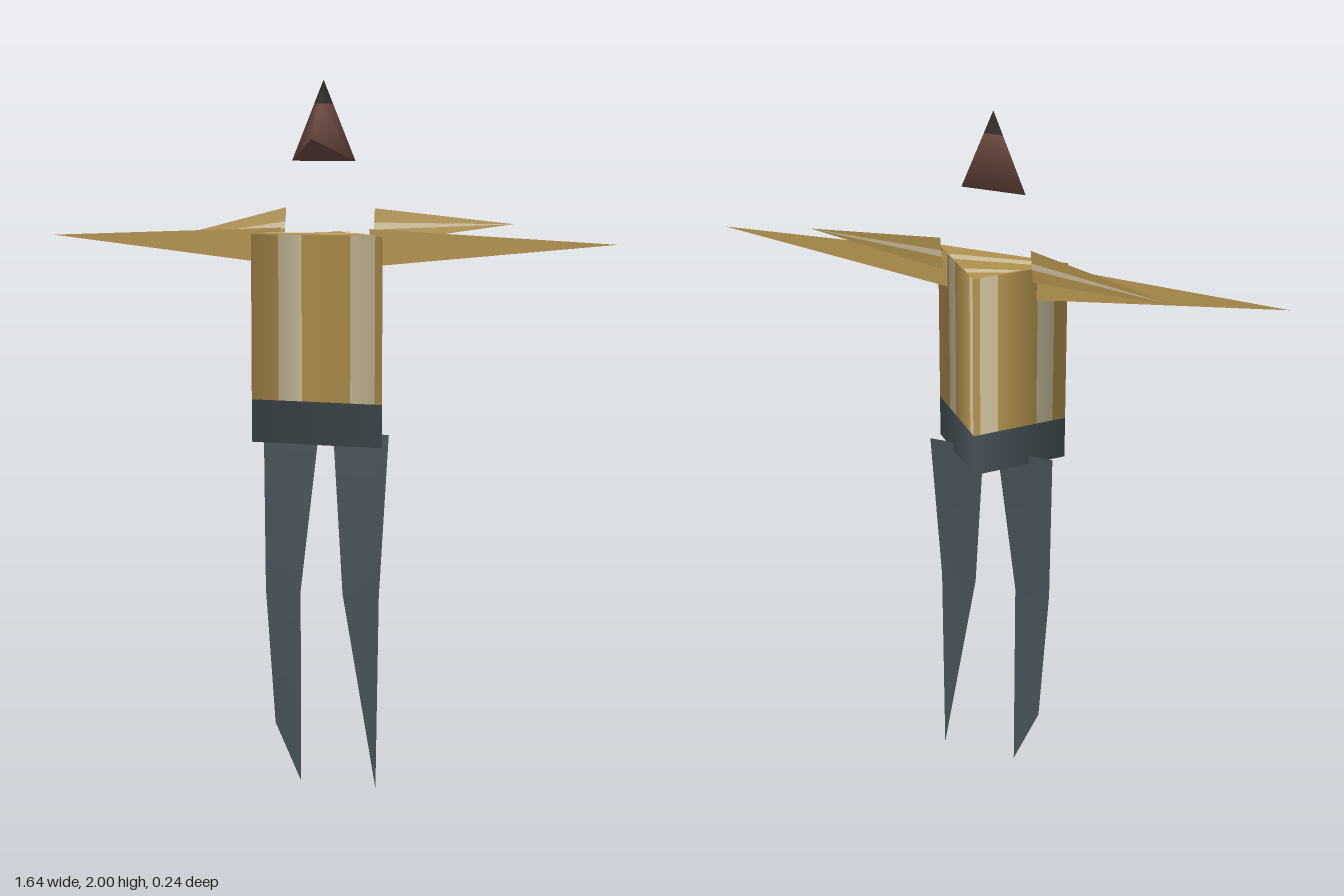
import * as THREE from 'three';

const mat = (name, color, side = THREE.FrontSide) =>
  Object.assign(new THREE.MeshStandardMaterial({ color, side }), { name });

export function createModel() {
  const gold = mat('gold cloth', 0xb1924f, THREE.DoubleSide);
  const cream = mat('cream stripe', 0xcdbf9c, THREE.DoubleSide);
  const slate = mat('slate cloth', 0x455056, THREE.DoubleSide);
  const skin = mat('brown skin', 0x69483e);
  const hair = mat('dark hair', 0x302a2a);
  const model = new THREE.Group();
  model.name = 'figure';

  // Small mesh from points and triangles; normals point away from a centre when given
  function add(parent, name, material, points, faces, normalFrom) {
    const g = new THREE.BufferGeometry();
    g.setAttribute('position', new THREE.Float32BufferAttribute(points.flat(), 3));
    g.setIndex(faces);
    if (normalFrom) {
      const n = points.flatMap(p => normalFrom(new THREE.Vector3(...p)).normalize().toArray());
      g.setAttribute('normal', new THREE.Float32BufferAttribute(n, 3));
    } else g.computeVertexNormals();
    const m = new THREE.Mesh(g, material);
    m.name = name;
    parent.add(m);
  }
  const QUAD = [0, 1, 2, 0, 2, 3];
  const lerp = THREE.MathUtils.lerp;

  // Torso: three-sided prism with softly shaded walls
  const torso = new THREE.Group();
  torso.name = 'torso';
  model.add(torso);
  const corners = [[-0.19, 0.083], [0.19, 0.083], [0, -0.122]];
  const radial = p => new THREE.Vector3(p.x, 0, p.z - 0.015);
  function wall(name, material, a, b, f0, f1, y0, y1) {
    const at = (f, y) => [lerp(a[0], b[0], f), y, lerp(a[1], b[1], f)];
    add(torso, name, material, [at(f0, y0), at(f1, y0), at(f1, y1), at(f0, y1)], QUAD, radial);
  }
  // Edges of the two cream stripes across each wall
  const stripes = [
    [0.21, 0.39, 0.76, 0.945],
    [0.31, 0.49, 0.9, 0.985],
    [0.07, 0.26, 0.68, 0.86],
  ];
  corners.forEach((a, i) => {
    const b = corners[(i + 1) % 3];
    const cuts = [0, ...stripes[i], 1];
    for (let k = 0; k < 5; k++)
      wall(k % 2 ? 'shirtStripe' : 'shirtPanel', k % 2 ? cream : gold, a, b, cuts[k], cuts[k + 1], 1.12, 1.58);
    wall('waistband', slate, a, b, 0, 1, 1.0, 1.12);
  });
  add(torso, 'shoulderCap', gold, corners.map(([x, z]) => [x, 1.58, z]), [0, 1, 2]);
  add(torso, 'hipCap', slate, corners.map(([x, z]) => [x, 1.0, z]), [0, 2, 1]);

  // Slanted stripes on the shoulder cap
  const edge = (s, z) => [s * 0.19 * (z + 0.122) / 0.205, 1.583, z];
  for (const [l0, l1, r0, r1] of [[-0.02, -0.05, -0.09, -0.065], [0.065, 0.035, -0.01, 0.02]])
    add(torso, 'capStripe', cream, [edge(-1, l0), edge(1, r1), edge(1, r0), edge(-1, l1)], QUAD);

  // Arms and the sleeve blades behind them
  for (const s of [-1, 1]) {
    const order = s > 0 ? [0, 1, 2] : [0, 2, 1];
    add(model, s > 0 ? 'leftArm' : 'rightArm', gold,
      [[s * 0.13, 1.595, 0.008], [s * 0.13, 1.492, 0.008], [s * 0.82, 1.565, 0.022]], order);

    const tip = s > 0 ? [0.53, 1.613, -0.018] : [-0.525, 1.547, -0.018];
    const top = [s * 0.13, 1.65, -0.04], low = [s * 0.13, 1.553, -0.022];
    const mix = f => top.map((v, i) => lerp(v, low[i], f));
    const name = s > 0 ? 'leftSleeve' : 'rightSleeve';
    [[0, 0.4, gold], [0.4, 0.6, cream], [0.6, 1, gold]].forEach(([f0, f1, m]) =>
      add(model, name, m, [mix(f0), mix(f1), tip], order));
  }

  // Legs: thin bent blades, each with its own foot shape
  add(model, 'rightLeg', slate, [
    [-0.185, 1.025, 0], [-0.02, 1.025, 0], [-0.065, 0.57, 0.03],
    [-0.17, 0.57, 0.03], [-0.15, 0.17, 0.008], [-0.075, 0.0, 0],
  ], [0, 2, 1, 0, 3, 2, 3, 4, 2, 4, 5, 2]);
  add(model, 'leftLeg', slate, [
    [0.185, 1.025, 0], [0.022, 1.025, 0], [0.06, 0.57, 0.03],
    [0.167, 0.57, 0.03], [0.15, 0.0, 0],
  ], [0, 1, 2, 0, 2, 3, 3, 2, 4]);

  // Head: pointed wedge with a dark tip
  const head = new THREE.Group();
  head.name = 'head';
  model.add(head);
  const apex = [0, 2, 0.018];
  const base = [[-0.092, 1.78, 0.018], [0, 1.84, 0.122], [0.092, 1.78, 0.018]];
  const ring = base.map(p => {
    const f = 0.065 / (2 - p[1]);
    return p.map((v, i) => lerp(apex[i], v, f));
  });
  const outward = p => new THREE.Vector3(p.x, (p.y - 1.85) * 0.4, p.z - 0.035);
  add(head, 'hairTip', hair, [apex, ...ring], [0, 1, 2, 0, 2, 3, 0, 3, 1], outward);
  add(head, 'face', skin, [...ring, ...base],
    [0, 3, 4, 0, 4, 1, 1, 4, 5, 1, 5, 2, 2, 5, 3, 2, 3, 0], outward);
  add(head, 'chin', skin, base, [0, 2, 1]);

  return model;
}
